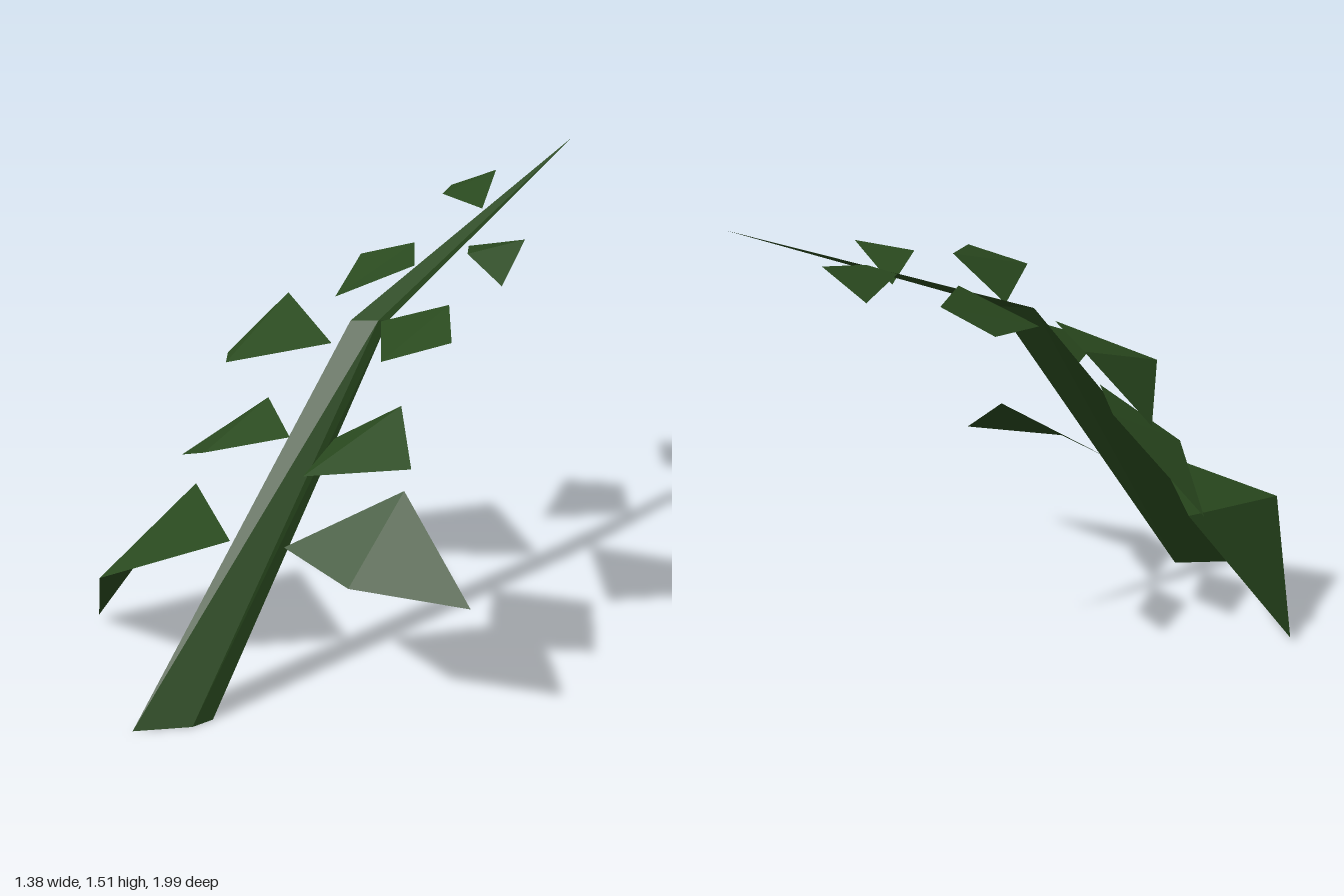
import * as THREE from 'three';

const green = new THREE.MeshStandardMaterial({ color: 0x2a4a1f, flatShading: true, side: THREE.DoubleSide });

// Mesh from a list of triangles, each three [x, y, z] corners
function facetMesh(name, triangles) {
  const geometry = new THREE.BufferGeometry();
  geometry.setAttribute('position', new THREE.Float32BufferAttribute(triangles.flat(2), 3));
  geometry.computeVertexNormals();
  const mesh = new THREE.Mesh(geometry, green);
  mesh.name = name;
  return mesh;
}

// Three-sided stem: ground section, bent middle section, pointed end
function createStem() {
  const foot = [[-0.115, 0, 1], [0.01, 0, 0.86], [0.03, 0, 0.79]];
  const bend = [[-0.03, 1.125, 0.06], [0.045, 1.13, 0.01], [0.06, 1.125, -0.02]];
  const apex = [0.07, 1.515, -0.99];
  const triangles = [[foot[0], foot[2], foot[1]]];
  for (let i = 0; i < 3; i++) {
    const j = (i + 1) % 3;
    triangles.push([foot[i], foot[j], bend[j]], [foot[i], bend[j], bend[i]], [bend[i], bend[j], apex]);
  }
  return facetMesh('stem', triangles);
}

// Leaf: two triangles folded across the blade from back corner to front corner
function createLeaf(name, [base, back, tip, front]) {
  const [a, b] = base[0] > tip[0] ? [back, front] : [front, back];
  return facetMesh(name, [[base, a, b], [a, tip, b]]);
}

// Corners in the order base, back, tip, front; from the lowest leaf upward
const rightLeaves = [
  [[-0.08, 0.52, 0.58], [-0.5, 0.48, 0.33], [-0.69, 0.02, 0.64], [-0.395, 0.385, 0.86]],
  [[-0.04, 0.81, 0.34], [-0.3, 0.81, 0.17], [-0.62, 0.53, 0.28], [-0.355, 0.68, 0.42]],
  [[-0.04, 1.07, 0.14], [-0.41, 1.09, -0.05], [-0.575, 0.865, 0.085], [-0.34, 0.975, 0.32]],
  [[0, 1.24, -0.22], [-0.15, 1.235, -0.4], [-0.33, 1.17, -0.33], [-0.205, 1.125, -0.06]],
  [[0.02, 1.355, -0.55], [-0.1, 1.41, -0.78], [-0.265, 1.33, -0.74], [-0.16, 1.365, -0.56]],
];
const leftLeaves = [
  [[0.04, 0.49, 0.46], [0.31, 0.68, 0.19], [0.685, 0.46, 0.32], [0.35, 0.48, 0.5]],
  [[0.045, 0.79, 0.22], [0.32, 0.99, 0.22], [0.52, 0.915, 0.41], [0.24, 0.86, 0.575]],
  [[0.055, 1.13, 0.01], [0.315, 1.25, -0.01], [0.47, 1.225, 0.17], [0.315, 1.165, 0.31]],
  [[0.06, 1.265, -0.43], [0.31, 1.355, -0.4], [0.365, 1.265, -0.21], [0.195, 1.32, -0.25]],
];

export function createModel() {
  const plant = new THREE.Group();
  plant.name = 'plant';
  plant.add(createStem());
  rightLeaves.forEach((corners, i) => plant.add(createLeaf(`rightLeaf${i + 1}`, corners)));
  leftLeaves.forEach((corners, i) => plant.add(createLeaf(`leftLeaf${i + 1}`, corners)));
  return plant;
}
